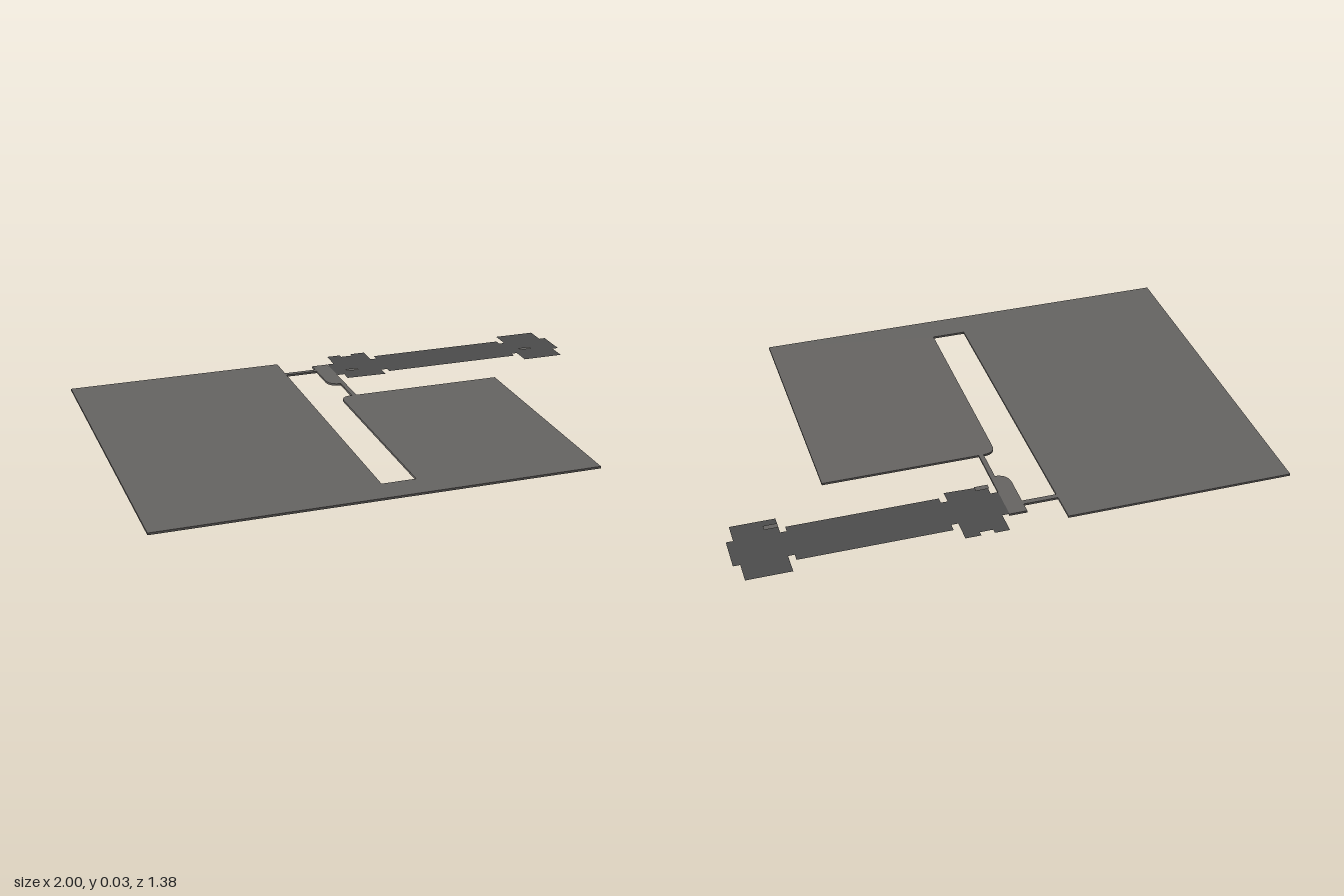
import * as THREE from 'three';

const THICK = 0.008;
const ground = new THREE.MeshStandardMaterial({ color: 0x666462 });
const hall = new THREE.MeshStandardMaterial({ color: 0x4c4c4c, side: THREE.DoubleSide });
const marker = new THREE.MeshStandardMaterial({ color: 0x666462, side: THREE.DoubleSide });

// Outline in plan: points are [x, z]; an optional third value rounds that corner
function outline(points) {
  const shape = new THREE.Shape();
  const n = points.length;
  points.forEach(([x, z, r = 0], i) => {
    const corner = new THREE.Vector2(x, -z);
    const toward = ([px, pz]) =>
      new THREE.Vector2(px, -pz).sub(corner).setLength(r).add(corner);
    const a = r ? toward(points[(i + n - 1) % n]) : corner;
    if (i === 0) shape.moveTo(a.x, a.y);
    else shape.lineTo(a.x, a.y);
    if (r) {
      const b = toward(points[(i + 1) % n]);
      shape.quadraticCurveTo(corner.x, corner.y, b.x, b.y);
    }
  });
  shape.closePath();
  return shape;
}

// Thin solid slab lying on the ground
function slab(name, points) {
  const geo = new THREE.ExtrudeGeometry(outline(points), {
    depth: THICK, bevelEnabled: false, curveSegments: 8,
  });
  geo.rotateX(-Math.PI / 2);
  const mesh = new THREE.Mesh(geo, ground);
  mesh.name = name;
  return mesh;
}

// Flat sheet without thickness
function sheet(name, points, y, material) {
  const geo = new THREE.ShapeGeometry(outline(points));
  geo.rotateX(-Math.PI / 2);
  const mesh = new THREE.Mesh(geo, material);
  mesh.position.y = y;
  mesh.name = name;
  return mesh;
}

const rect = (x0, z0, x1, z1) => [[x0, z0], [x0, z1], [x1, z1], [x1, z0]];

export function createModel() {
  const model = new THREE.Group();
  model.name = 'sitePlan';

  // U-shaped field: wide left arm, shorter right arm, joined along the front
  model.add(slab('field', [
    [-1, -0.68], [-1, 0.69], [0.615, 0.69], [0.615, -0.25],
    [-0.033, -0.25, 0.045], [-0.033, 0.575], [-0.16, 0.575], [-0.16, -0.68],
  ]));

  // Forecourt with its two narrow paths
  model.add(slab('forecourt', [
    [-0.033, -0.61], [-0.033, -0.385, 0.055], [0.032, -0.385], [0.032, -0.61],
  ]));
  model.add(slab('sidePath', rect(-0.16, -0.57, -0.033, -0.55)));
  model.add(slab('frontPath', rect(0.014, -0.385, 0.032, -0.25)));

  // Long building footprint: two end blocks and a hall joined by short necks
  model.add(sheet('buildingFootprint', [
    [0.032, -0.61], [0.032, -0.48], [0.06, -0.48], [0.06, -0.435],
    [0.217, -0.43], [0.217, -0.48], [0.242, -0.48], [0.242, -0.455],
    [0.79, -0.455], [0.79, -0.48], [0.813, -0.48], [0.813, -0.4],
    [0.975, -0.4], [0.975, -0.48], [1, -0.48], [1, -0.612],
    [0.975, -0.612], [0.975, -0.695], [0.813, -0.695], [0.813, -0.612],
    [0.79, -0.612], [0.79, -0.64], [0.242, -0.64], [0.242, -0.61],
    [0.217, -0.61], [0.217, -0.695], [0.16, -0.695], [0.16, -0.677],
    [0.112, -0.677], [0.112, -0.695], [0.058, -0.695], [0.058, -0.61],
  ], THICK + 0.0005, hall));

  // Small raised strips above the end blocks
  for (const [i, x] of [0.064, 0.817].entries()) {
    model.add(sheet(`raisedStrip${i + 1}`, rect(x, -0.478, x + 0.05, -0.455), 0.03, marker));
  }
  return model;
}
